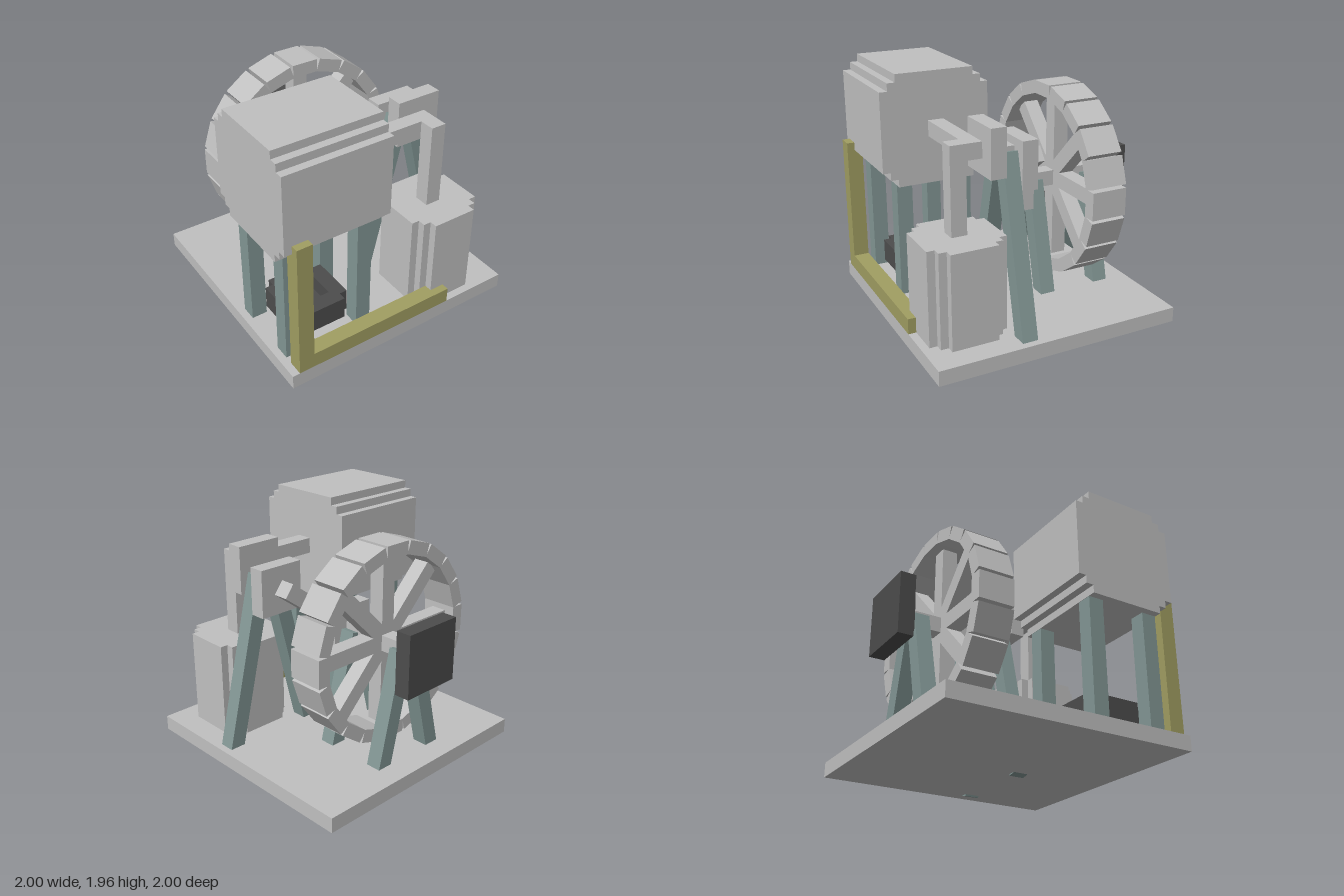
import * as THREE from 'three';

export function createModel() {
  const model = new THREE.Group();
  model.name = 'steamEngine';

  const makeMat = (name, color) => {
    const m = new THREE.MeshStandardMaterial({ color });
    m.name = name;
    return m;
  };
  const iron = makeMat('light iron', 0xc0c0c0);
  const dark = makeMat('dark iron', 0x4d4d4d);
  const teal = makeMat('teal support', 0x839795);
  const brass = makeMat('brass pipe', 0xa19e62);

  const group = (name) => {
    const g = new THREE.Group();
    g.name = name;
    model.add(g);
    return g;
  };
  const add = (name, geometry, mat, parent = model) => {
    const m = new THREE.Mesh(geometry, mat);
    m.name = name;
    parent.add(m);
    return m;
  };
  // Box given by its extents on each axis
  const box = (name, mat, [x0, x1], [y0, y1], [z0, z1], parent) => {
    const m = add(name, new THREE.BoxGeometry(x1 - x0, y1 - y0, z1 - z0), mat, parent);
    m.position.set((x0 + x1) / 2, (y0 + y1) / 2, (z0 + z1) / 2);
    return m;
  };
  // Prism with a round outline made of small steps, extruded along z
  const steppedPrism = (r, depth) => {
    const s = 0.0625, a = r - s, b = r - 2 * s;
    let quad = [[r, b], [a, b], [a, a], [b, a], [b, r]];
    const pts = [];
    for (let i = 0; i < 4; i++) {
      pts.push(...quad.map(([x, y]) => new THREE.Vector2(x, y)));
      quad = quad.map(([x, y]) => [-y, x]);
    }
    return new THREE.ExtrudeGeometry(new THREE.Shape(pts), { depth, bevelEnabled: false });
  };
  // Two leaning legs that meet near the top
  const aFrame = (name, cx, topY, length, z) => {
    const g = group(name);
    const tilt = 0.239;
    for (const side of [-1, 1]) {
      const leg = add('leg', new THREE.BoxGeometry(0.125, length, 0.125), teal, g);
      leg.rotation.z = side * tilt;
      leg.position.set(
        cx + side * (0.052 + Math.sin(tilt) * length / 2),
        topY - 0.015 - Math.cos(tilt) * length / 2, z);
    }
  };

  box('basePlate', iron, [-1, 1], [0.015, 0.135], [-1, 1]);

  // Boiler on four legs
  const boiler = add('boiler', steppedPrism(0.44, 0.87).rotateY(Math.PI / 2), iron);
  boiler.position.set(-1, 1.515, 0.5);
  const boilerLegs = group('boilerLegs');
  for (const x of [-0.94, -0.315])
    for (const z of [0.1875, 0.6875])
      box('boilerLeg', teal, [x, x + 0.125], [0.135, 1.08], [z, z + 0.125], boilerLegs);

  // Open fire tray under the boiler
  const tray = group('fireTray');
  box('trayFloor', dark, [-0.75, -0.38], [0.2, 0.26], [0.315, 0.685], tray);
  for (const z of [0.25, 0.625])
    box('trayEndWall', dark, [-0.75, -0.38], [0.2, 0.385], [z, z + 0.125], tray);
  for (const x of [-0.815, -0.44])
    box('traySideWall', dark, [x, x + 0.125], [0.2, 0.385], [0.315, 0.685], tray);

  // Return pipe along the front edge
  const pipe = group('waterPipe');
  box('pipeUpright', brass, [-0.94, -0.815], [0.26, 1.265], [0.875, 1], pipe);
  box('pipeRun', brass, [-0.94, 0.435], [0.135, 0.26], [0.875, 1], pipe);

  // Cylinder, piston rod and cross arm from the boiler
  const cylinder = add('cylinder', steppedPrism(0.3125, 0.755).rotateX(-Math.PI / 2), iron);
  cylinder.position.set(0.5, 0.135, 0.625);
  box('pistonRod', iron, [0.425, 0.55], [0.89, 1.575], [0.5625, 0.6875]);
  box('steamPipe', iron, [-0.13, 0.55], [1.45, 1.575], [0.4375, 0.5625]);

  // Rocker shaft carried by the tall frame
  const rocker = group('rocker');
  box('frontRockerBlock', iron, [0.31, 0.685], [1.325, 1.7], [0.3125, 0.4375], rocker);
  box('rearRockerBlock', iron, [0.31, 0.685], [1.2, 1.575], [0.0625, 0.1875], rocker);
  box('rockerShaft', iron, [0.4375, 0.5625], [1.39, 1.515], [0.1875, 0.3125], rocker);
  aFrame('tallFrame', 0.5, 1.49, 1.503, 0.25);

  // Connecting rod and crank
  const rod = add('connectingRod', new THREE.BoxGeometry(0.69, 0.123, 0.125), iron);
  rod.position.set(0.251, 1.204, 0);
  rod.rotation.z = 0.64;
  box('crankBlock', iron, [-0.1875, 0.1875], [0.83, 1.2], [-0.1875, -0.0625]);

  // Flywheel: 20 rim blocks and eight spokes
  const wheel = group('flywheel');
  wheel.position.set(0, 1.015, -0.5);
  for (let i = 0; i < 20; i++) {
    const a = i * Math.PI / 10;
    const block = add('rimBlock', new THREE.BoxGeometry(0.22, 0.105, 0.29), iron, wheel);
    block.position.set(-Math.sin(a) * 0.7275, Math.cos(a) * 0.7275, 0);
    block.rotation.z = a;
  }
  for (let i = 0; i < 4; i++) {
    const spoke = add('spokePair', new THREE.BoxGeometry(1.37, 0.125, 0.125), iron, wheel);
    spoke.rotation.z = i * Math.PI / 4;
  }
  box('axle', iron, [-0.0625, 0.0625], [0.9525, 1.0775], [-0.815, -0.1875]);
  aFrame('frontWheelFrame', 0, 1.035, 0.97, -0.25);
  aFrame('rearWheelFrame', 0, 1.035, 0.97, -0.75);

  // Driven block at the back end of the axle
  const drive = group('rearDrive');
  box('driveCollar', dark, [-0.125, 0.125], [0.89, 1.14], [-0.875, -0.8125], drive);
  box('drivePlate', dark, [-0.25, 0.25], [0.765, 1.265], [-1, -0.875], drive);

  return model;
}
